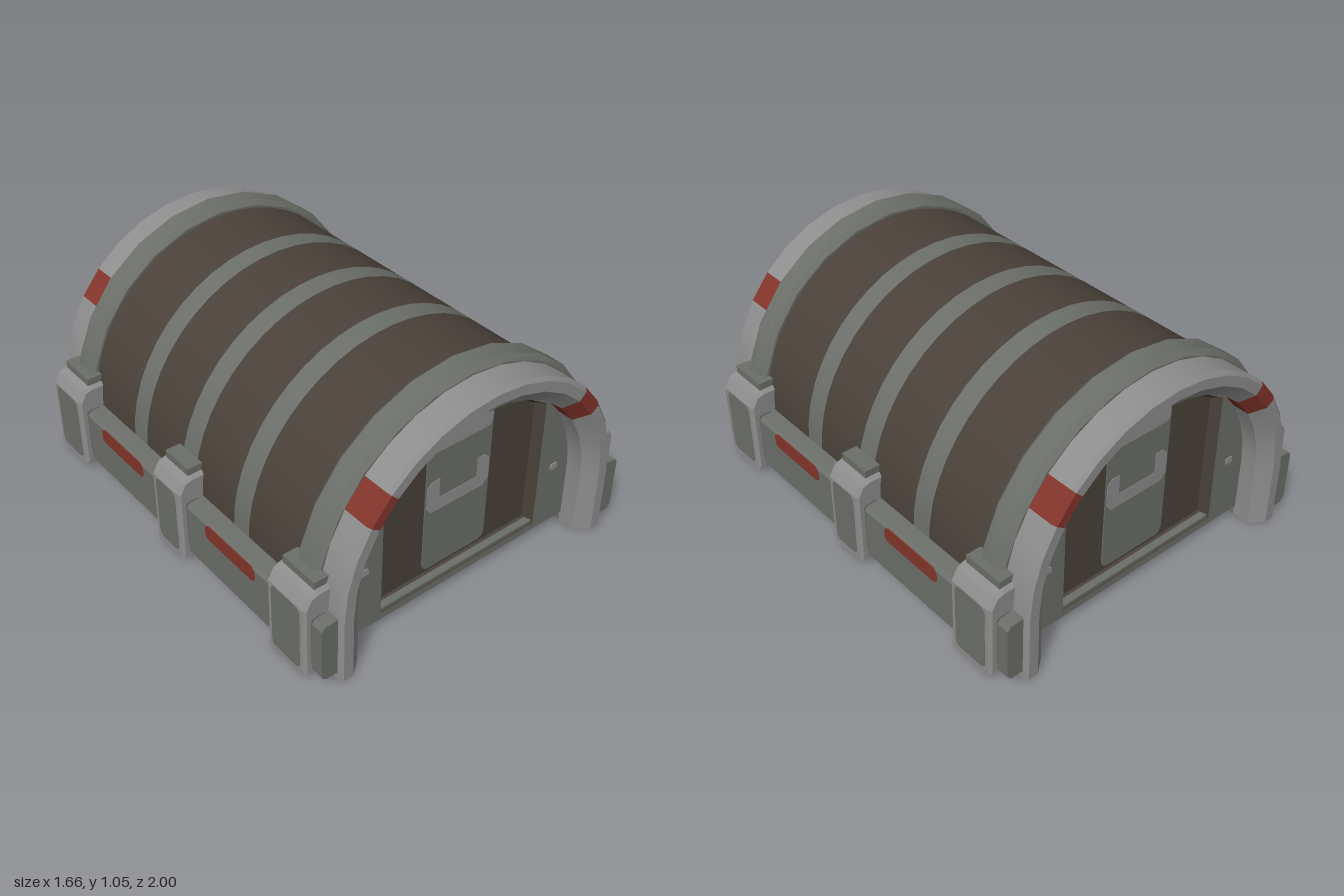
import * as THREE from 'three';
import { toCreasedNormals } from 'three/addons/utils/BufferGeometryUtils.js';

const mat = (name, color) => Object.assign(new THREE.MeshStandardMaterial({ color }), { name });
const CY = 0.3; // height of the vault's centre

export function createModel() {
  const brown = mat('dark brown', 0x4a423a);
  const grey = mat('grey', 0x6c6f69);
  const light = mat('light grey', 0x8e8e8e);
  const red = mat('red', 0x82352a);
  const root = new THREE.Group();
  root.name = 'vaultedModule';

  const add = (parent, name, geo, material, x = 0, y = 0, z = 0) => {
    const m = new THREE.Mesh(geo, material);
    m.name = name;
    m.position.set(x, y, z);
    parent.add(m);
    return m;
  };
  const box = (w, h, d) => new THREE.BoxGeometry(w, h, d);
  const poly = (pts) => new THREE.Shape(pts.map(([x, y]) => new THREE.Vector2(x, y)));
  const extrude = (shape, depth) =>
    new THREE.ExtrudeGeometry(shape, { depth, bevelEnabled: false, curveSegments: 6 });

  // Thin rounded plate facing +z
  const plate = (w, h, r, t = 0.006) => {
    const s = new THREE.Shape(), a = w / 2, b = h / 2;
    s.moveTo(-a + r, -b).lineTo(a - r, -b).quadraticCurveTo(a, -b, a, -b + r);
    s.lineTo(a, b - r).quadraticCurveTo(a, b, a - r, b).lineTo(-a + r, b);
    s.quadraticCurveTo(-a, b, -a, b - r).lineTo(-a, -b + r).quadraticCurveTo(-a, -b, -a + r, -b);
    return extrude(s, t);
  };

  // Sweep a convex (radius, z) profile along stations of [angle, centre height]
  const sweep = (profile, stations) => {
    const pos = [], n = profile.length;
    const p = ([a, y], [r, z]) => [r * Math.cos(a), y + r * Math.sin(a), z];
    const tri = (...v) => v.forEach((q) => pos.push(...q));
    for (let i = 0; i < stations.length - 1; i++) {
      for (let j = 0; j < n; j++) {
        const k = (j + 1) % n, s = stations[i], e = stations[i + 1];
        tri(p(s, profile[j]), p(e, profile[j]), p(e, profile[k]));
        tri(p(s, profile[j]), p(e, profile[k]), p(s, profile[k]));
      }
    }
    const s = stations[0], e = stations[stations.length - 1];
    for (let j = 1; j < n - 1; j++) {
      tri(p(s, profile[0]), p(s, profile[j]), p(s, profile[j + 1]));
      tri(p(e, profile[0]), p(e, profile[j + 1]), p(e, profile[j]));
    }
    const g = new THREE.BufferGeometry();
    g.setAttribute('position', new THREE.Float32BufferAttribute(pos, 3));
    return toCreasedNormals(g, 0.35);
  };
  const arc = (from, to, segs) => {
    const out = [];
    for (let i = from; i <= to; i++) out.push([(i / segs) * Math.PI, CY]);
    return out;
  };

  // Vaulted hull: brown bays with grey ribs between them
  const cuts = [-0.76, -0.42, -0.32, -0.05, 0.05, 0.32, 0.42, 0.76];
  for (let i = 0; i < cuts.length - 1; i++) {
    const [a, b] = [cuts[i], cuts[i + 1]];
    add(root, i % 2 ? 'hullRib' : 'hullBay',
      sweep([[0.6, a], [0.715, a], [0.715, b], [0.6, b]], arc(0, 24, 24)), i % 2 ? grey : brown);
  }

  // Floor, underside panel and slots
  add(root, 'floor', box(1.22, 0.05, 1.74), grey, 0, 0.07, 0);
  add(root, 'undersidePanel', plate(0.84, 1.5, 0.06, 0.004), brown, 0, 0.046, 0).rotation.x = Math.PI / 2;
  for (const z of [-0.37, 0, 0.37])
    add(root, 'undersideSlot', plate(0.52, 0.1, 0.05, 0.004), grey, 0, 0.043, z).rotation.x = Math.PI / 2;

  // Ends: entrance arch, collar, wall and door
  const archProfile = [[0.6, 0.86], [0.72, 0.86], [0.72, 0.985], [0.705, 1], [0.66, 1], [0.6, 0.95]];
  const collarProfile = [[0.69, 0.735], [0.728, 0.735], [0.75, 0.757], [0.75, 0.843], [0.728, 0.865], [0.69, 0.865]];
  const half = (pts) => [...pts, ...pts.slice(0, -1).reverse().map(([x, y]) => [-x, y])];
  const outer = half([[0.42, 0.08], [0.42, 0.71], [0.2, 0.845], [0, 0.86]]);
  const inner = half([[0.405, 0.1], [0.405, 0.69], [0.2, 0.815], [0, 0.83]]);

  const buildEnd = (name) => {
    const end = new THREE.Group();
    end.name = name;
    root.add(end);
    const N = 16;
    add(end, 'archRightPart', sweep(archProfile, [[0, 0], ...arc(0, 3, N)]), light);
    add(end, 'archBand', sweep(archProfile, arc(3, 4, N)), red);
    add(end, 'archCrown', sweep(archProfile, arc(4, 12, N)), light);
    add(end, 'archBand', sweep(archProfile, arc(12, 13, N)), red);
    add(end, 'archLeftPart', sweep(archProfile, [...arc(13, 16, N), [Math.PI, 0]]), light);
    add(end, 'collar', sweep(collarProfile, arc(0, 12, 12)), grey);

    // Wall with the door opening
    const wall = new THREE.Shape();
    wall.moveTo(-0.63, 0.045).lineTo(0.63, 0.045).lineTo(0.63, CY);
    wall.absarc(0, CY, 0.63, 0, Math.PI, false);
    wall.lineTo(-0.63, 0.045);
    wall.holes.push(new THREE.Path(outer.map(([x, y]) => new THREE.Vector2(x, y))));
    add(end, 'endWall', extrude(wall, 0.06), grey, 0, 0, 0.815);

    // Sloping door reveal between the two outlines
    const pos = [];
    outer.forEach((o, i) => {
      const k = (i + 1) % outer.length;
      const A = [...o, 0.878], B = [...outer[k], 0.878];
      const C = [...inner[k], 0.825], D = [...inner[i], 0.825];
      pos.push(...A, ...B, ...C, ...A, ...C, ...D);
    });
    const reveal = new THREE.BufferGeometry();
    reveal.setAttribute('position', new THREE.Float32BufferAttribute(pos, 3));
    reveal.computeVertexNormals();
    add(end, 'doorReveal', reveal, brown);

    add(end, 'door', extrude(poly(inner), 0.02), brown, 0, 0, 0.807);
    add(end, 'doorPanel', plate(0.34, 0.7, 0.04), grey, 0, 0.467, 0.826);
    add(end, 'doorUpperPlate', plate(0.33, 0.11, 0.03, 0.004), light, 0, 0.757, 0.83);
    add(end, 'doorHandle', extrude(poly([[-0.165, 0.44], [-0.14, 0.41], [0.14, 0.41], [0.165, 0.44],
      [0.165, 0.54], [0.14, 0.565], [0.1, 0.565], [0.1, 0.47], [-0.1, 0.47], [-0.1, 0.565],
      [-0.14, 0.565], [-0.165, 0.54]]), 0.004), light, 0, 0, 0.83);
    for (const s of [-1, 1])
      add(end, 'wallStud', plate(0.04, 0.03, 0.008), light, s * 0.51, 0.345, 0.874);
    return end;
  };
  buildEnd('frontEnd');
  buildEnd('backEnd').rotation.y = Math.PI;

  // Sides: skirt, rail, pillars and red markers (symmetric, so the other side is turned round)
  const pillarShape = poly([[0.69, 0.03], [0.828, 0.03], [0.828, 0.37], [0.8, 0.42], [0.76, 0.432], [0.69, 0.432]]);
  const skirtShape = poly([[0.69, 0.04], [0.775, 0.04], [0.795, 0.06], [0.795, 0.295], [0.78, 0.312], [0.69, 0.318]]);
  const buildSide = (name) => {
    const side = new THREE.Group();
    side.name = name;
    root.add(side);
    add(side, 'skirt', extrude(skirtShape, 1.96), grey, 0, 0, -0.98);
    add(side, 'bottomRail', box(0.12, 0.1, 1.74), grey, 0.66, 0.05, 0);
    for (const [z, w] of [[-0.805, 0.23], [0, 0.2], [0.805, 0.23]]) {
      const body = new THREE.ExtrudeGeometry(pillarShape, {
        depth: w - 0.024, bevelSize: 0.012, bevelThickness: 0.012, bevelOffset: -0.012, bevelSegments: 1,
      });
      add(side, 'pillar', body, light, 0, 0, z - w / 2 + 0.012);
      add(side, 'pillarPanel', plate(w - 0.06, 0.31, 0.03, 0.004), grey, 0.826, 0.21, z).rotation.y = Math.PI / 2;
      for (const s of [-1, 1]) {
        const p = add(side, 'pillarSidePanel', plate(0.07, 0.24, 0.02, 0.004), grey, 0.762, 0.2, z + s * (w / 2 - 0.002));
        if (s < 0) p.rotation.y = Math.PI;
      }
      add(side, 'pillarCap', box(0.075, 0.04, w - 0.04), grey, 0.728, 0.445, z);
    }
    for (const z of [-0.4, 0.4])
      add(side, 'sideMarker', plate(0.335, 0.07, 0.03), red, 0.791, 0.265, z).rotation.y = Math.PI / 2;
    return side;
  };
  buildSide('leftSide');
  buildSide('rightSide').rotation.y = Math.PI;

  return root;
}
